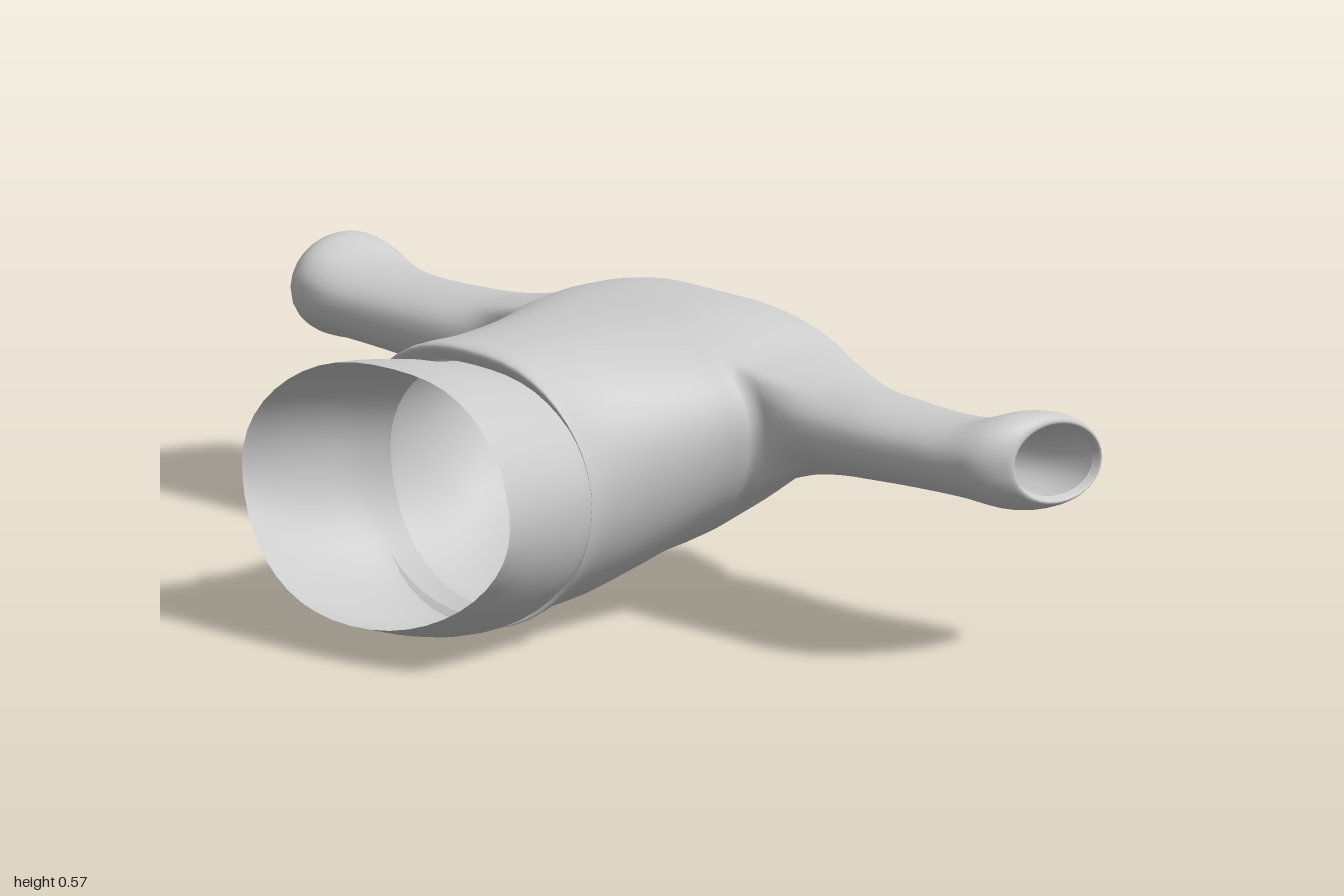
import * as THREE from 'three';

const SEG = 48; // points around the torso
const SUB = 4;  // rings between two key sections

const material = new THREE.MeshStandardMaterial({ color: 0xcccccc, side: THREE.DoubleSide });

// Smooth interpolation through a list of key sections (rows of numbers)
function refine(rows, sub) {
  const out = [];
  const at = (i) => rows[Math.min(Math.max(i, 0), rows.length - 1)];
  for (let i = 0; i < rows.length - 1; i++) {
    for (let s = 0; s < sub; s++) {
      const t = s / sub, t2 = t * t, t3 = t2 * t;
      out.push(rows[i].map((p, c) => {
        const m0 = (at(i + 1)[c] - at(i - 1)[c]) / 2, m1 = (at(i + 2)[c] - p) / 2;
        return (2 * t3 - 3 * t2 + 1) * p + (t3 - 2 * t2 + t) * m0
          + (3 * t2 - 2 * t3) * at(i + 1)[c] + (t3 - t2) * m1;
      }));
    }
  }
  out.push(rows[rows.length - 1]);
  return out;
}

// Section row: x at top, side, bottom; y at top, side, bottom; half width
function sectionPoint([xt, xm, xb, yt, ym, yb, hw], j) {
  const a = (j / SEG) * Math.PI * 2, s = Math.sin(a), c = Math.cos(a);
  const end = s > 0 ? xt : xb, dip = s > 0 ? 0.008 * Math.pow(s, 16) : 0;
  return [
    xm + (end - xm) * s * s,
    ym + Math.abs(s) * ((s > 0 ? yt : yb) - ym) - dip,
    hw * Math.sign(c) * Math.pow(Math.abs(c), 0.95),
  ];
}

// Tube of rings along x; skip(i, j) leaves quads open
function loft(rings, pos, idx, skip = () => false) {
  rings.forEach((r) => { for (let j = 0; j < SEG; j++) pos.push(...sectionPoint(r, j)); });
  const id = (i, j) => i * SEG + ((j + SEG) % SEG);
  for (let i = 0; i < rings.length - 1; i++) {
    for (let j = 0; j < SEG; j++) {
      if (skip(i, j)) continue;
      const a = id(i, j), b = id(i + 1, j), c = id(i + 1, j + 1), d = id(i, j + 1);
      idx.push(a, b, c, a, c, d);
    }
  }
  return id;
}

function makeMesh(name, pos, idx) {
  const g = new THREE.BufferGeometry();
  g.setAttribute('position', new THREE.Float32BufferAttribute(pos, 3));
  g.setIndex(idx);
  g.computeVertexNormals();
  const mesh = new THREE.Mesh(g, material);
  mesh.name = name;
  return mesh;
}

// Under layer showing below the hem
function waistband() {
  const rows = [
    [-0.46, -0.505, -0.575, 0.568, 0.31, 0.06, 0.375],
    [-0.39, -0.43, -0.46, 0.562, 0.305, 0.025, 0.36],
    [-0.31, -0.33, -0.36, 0.548, 0.3, 0.008, 0.342],
    [-0.24, -0.25, -0.27, 0.53, 0.3, 0.01, 0.322],
    [-0.17, -0.18, -0.2, 0.52, 0.3, 0.03, 0.29],
  ];
  const pos = [], idx = [];
  loft(refine(rows, SUB), pos, idx);
  return makeMesh('waistband', pos, idx);
}

// Sleeve row: z, centre x, centre y, radius x, radius y
const SLEEVE = [
  [0.47, 0.335, 0.383, 0.165, 0.095],
  [0.6, 0.328, 0.385, 0.16, 0.084],
  [0.75, 0.327, 0.388, 0.158, 0.078],
  [0.86, 0.335, 0.393, 0.166, 0.082],
  [0.95, 0.355, 0.403, 0.16, 0.1],
  [0.99, 0.378, 0.405, 0.138, 0.092],
  [1.0, 0.388, 0.402, 0.122, 0.08],
  [0.985, 0.388, 0.4, 0.112, 0.068],
];
const TILT = -0.17;

// Torso with armholes, and sleeves grown out of the armhole edges
function jacket() {
  const rows = [
    [-0.235, -0.225, -0.25, 0.535, 0.3, 0.022, 0.322],
    [-0.252, -0.24, -0.27, 0.56, 0.3, 0.006, 0.335],
    [-0.235, -0.222, -0.24, 0.572, 0.3, 0.008, 0.325],
    [-0.17, -0.17, -0.18, 0.573, 0.305, 0.018, 0.306],
    [-0.08, -0.08, -0.09, 0.575, 0.315, 0.026, 0.307],
    [0.01, 0.01, 0, 0.578, 0.33, 0.05, 0.325],
    [0.1, 0.1, 0.09, 0.581, 0.355, 0.08, 0.35],
    [0.18, 0.18, 0.18, 0.584, 0.38, 0.097, 0.377],
    [0.26, 0.28, 0.26, 0.587, 0.39, 0.125, 0.385],
    [0.34, 0.39, 0.33, 0.583, 0.395, 0.155, 0.375],
    [0.41, 0.495, 0.39, 0.57, 0.4, 0.18, 0.345],
    [0.455, 0.53, 0.43, 0.554, 0.4, 0.195, 0.285],
    [0.49, 0.552, 0.457, 0.535, 0.395, 0.207, 0.22],
    [0.52, 0.567, 0.482, 0.512, 0.385, 0.217, 0.155],
  ];
  const i0 = 7 * SUB, i1 = 10 * SUB, j0 = -4, j1 = 5;
  const inRange = (j) => j >= j0 && j < j1;
  const pos = [], idx = [];
  const id = loft(refine(rows, SUB), pos, idx, (i, j) => i >= i0 && i < i1
    && (inRange(j) || inRange(j - SEG) || inRange(SEG / 2 - 1 - j)));

  for (const side of [1, -1]) {
    // Armhole edge, counter-clockwise in the x-y plane
    const edge = [];
    const add = (i, j) => edge.push(id(i, side > 0 ? j : SEG / 2 - j));
    for (let i = i0; i < i1; i++) add(i, j0);
    for (let j = j0; j < j1; j++) add(i1, j);
    for (let i = i1; i > i0; i--) add(i, j1);
    for (let j = j1; j > j0; j--) add(i0, j);

    const n = edge.length, steps = 40, first = pos.length / 3;
    const lines = edge.map((v) => {
      const p = new THREE.Vector3().fromArray(pos, v * 3);
      const a = Math.atan2((p.y - 0.39) / 0.11, (p.x - 0.34) / 0.16);
      const pts = SLEEVE.map(([z, cx, cy, rx, ry]) => {
        const x = Math.cos(a) * rx, y = Math.sin(a) * ry;
        return new THREE.Vector3(cx + x * Math.cos(TILT) - y * Math.sin(TILT),
          cy + x * Math.sin(TILT) + y * Math.cos(TILT), side * z);
      });
      return new THREE.CatmullRomCurve3([p, ...pts], false, 'centripetal');
    });
    for (let s = 1; s <= steps; s++) {
      for (const line of lines) pos.push(...line.getPoint(s / steps).toArray());
    }
    const at = (s, k) => (s === 0 ? edge[k % n] : first + (s - 1) * n + (k % n));
    for (let s = 0; s < steps; s++) {
      for (let k = 0; k < n; k++) {
        const a = at(s, k), b = at(s, k + 1), c = at(s + 1, k + 1), d = at(s + 1, k);
        if (side > 0) idx.push(a, b, c, a, c, d);
        else idx.push(a, c, b, a, d, c);
      }
    }
  }
  return makeMesh('torsoAndSleeves', pos, idx);
}

export function createModel() {
  const group = new THREE.Group();
  group.name = 'jacket';
  group.add(waistband(), jacket());
  return group;
}
